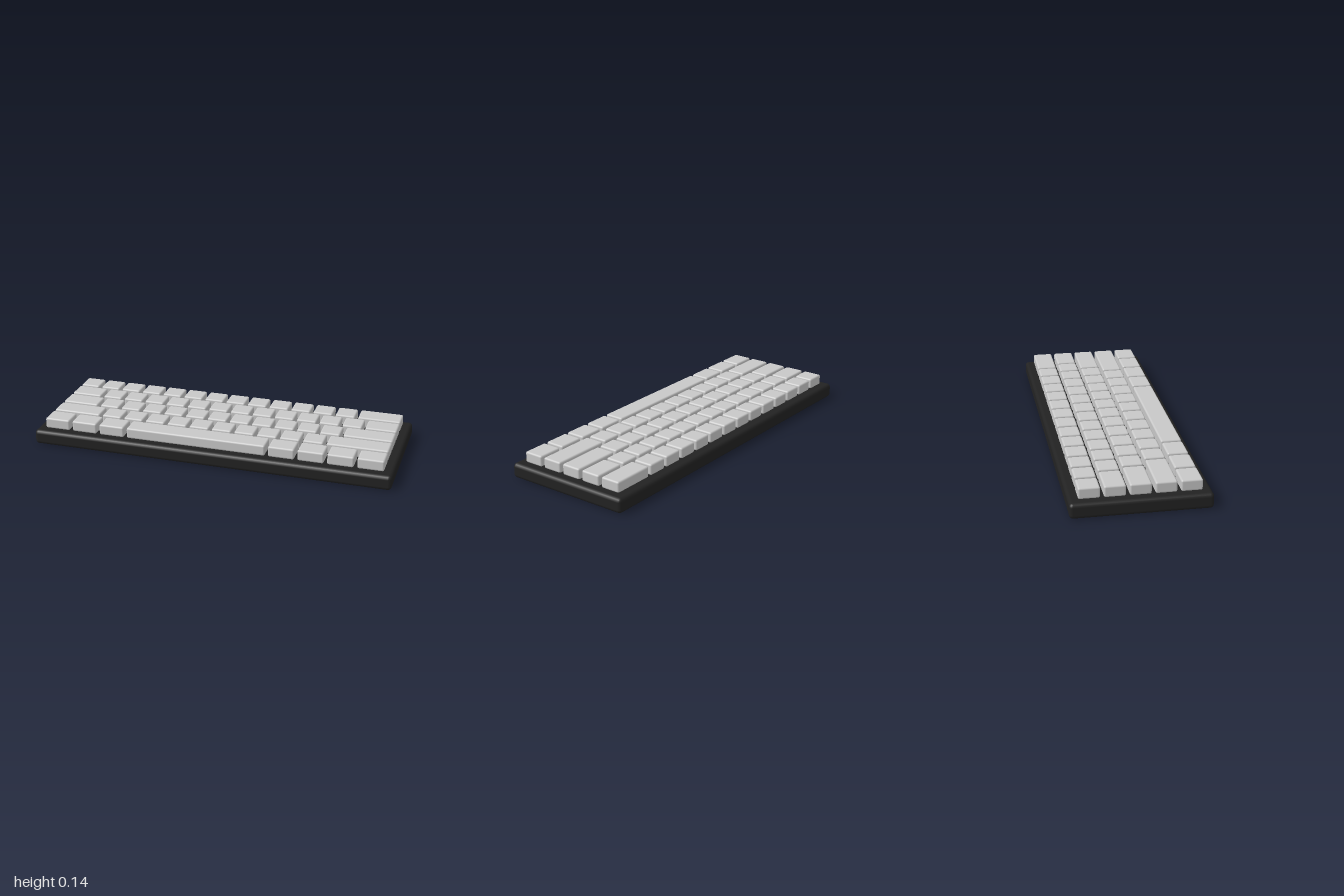
import * as THREE from 'three';
import { RoundedBoxGeometry } from 'three/addons/geometries/RoundedBoxGeometry.js';

const UNIT = 0.128; // pitch of one standard key
const GAP = 0.018;
const CASE_H = 0.081;
const KEY_H = 0.06;

// Key widths in units, back row first; every row adds up to 15
const ones = (n) => Array(n).fill(1);
const ROWS = [
  [...ones(13), 2],
  [1.5, ...ones(12), 1.5],
  [1.75, ...ones(11), 2.25],
  [2.25, ...ones(10), 2.75],
  [1.25, 1.25, 1.25, 6.25, 1.25, 1.25, 1.25, 1.25],
];

export function createModel() {
  const caseBlack = new THREE.MeshStandardMaterial({ name: 'caseBlack', color: 0x222222 });
  const keyGrey = new THREE.MeshStandardMaterial({ name: 'keyGrey', color: 0xc8c8c8 });
  const model = new THREE.Group();
  model.name = 'keyboard';

  // Case: one slab with softened edges
  const body = new THREE.Mesh(new RoundedBoxGeometry(2, CASE_H, 0.72, 2, 0.02), caseBlack);
  body.name = 'case';
  body.position.y = CASE_H / 2;
  model.add(body);

  // Keycaps: one shared geometry per width
  const caps = new Map();
  const capFor = (units) => {
    if (!caps.has(units)) {
      caps.set(units, new RoundedBoxGeometry(units * UNIT - GAP, KEY_H, UNIT - GAP, 2, 0.01));
    }
    return caps.get(units);
  };

  ROWS.forEach((widths, r) => {
    const row = new THREE.Group();
    row.name = `keyRow${r + 1}`;
    row.position.set(0, 0.082 + KEY_H / 2, (r - 2) * UNIT);
    let x = -7.5 * UNIT;
    widths.forEach((units, i) => {
      const key = new THREE.Mesh(capFor(units), keyGrey);
      key.name = units > 6 ? 'spaceBar' : `key${i + 1}`;
      key.position.x = x + (units * UNIT) / 2;
      x += units * UNIT;
      row.add(key);
    });
    model.add(row);
  });

  return model;
}
